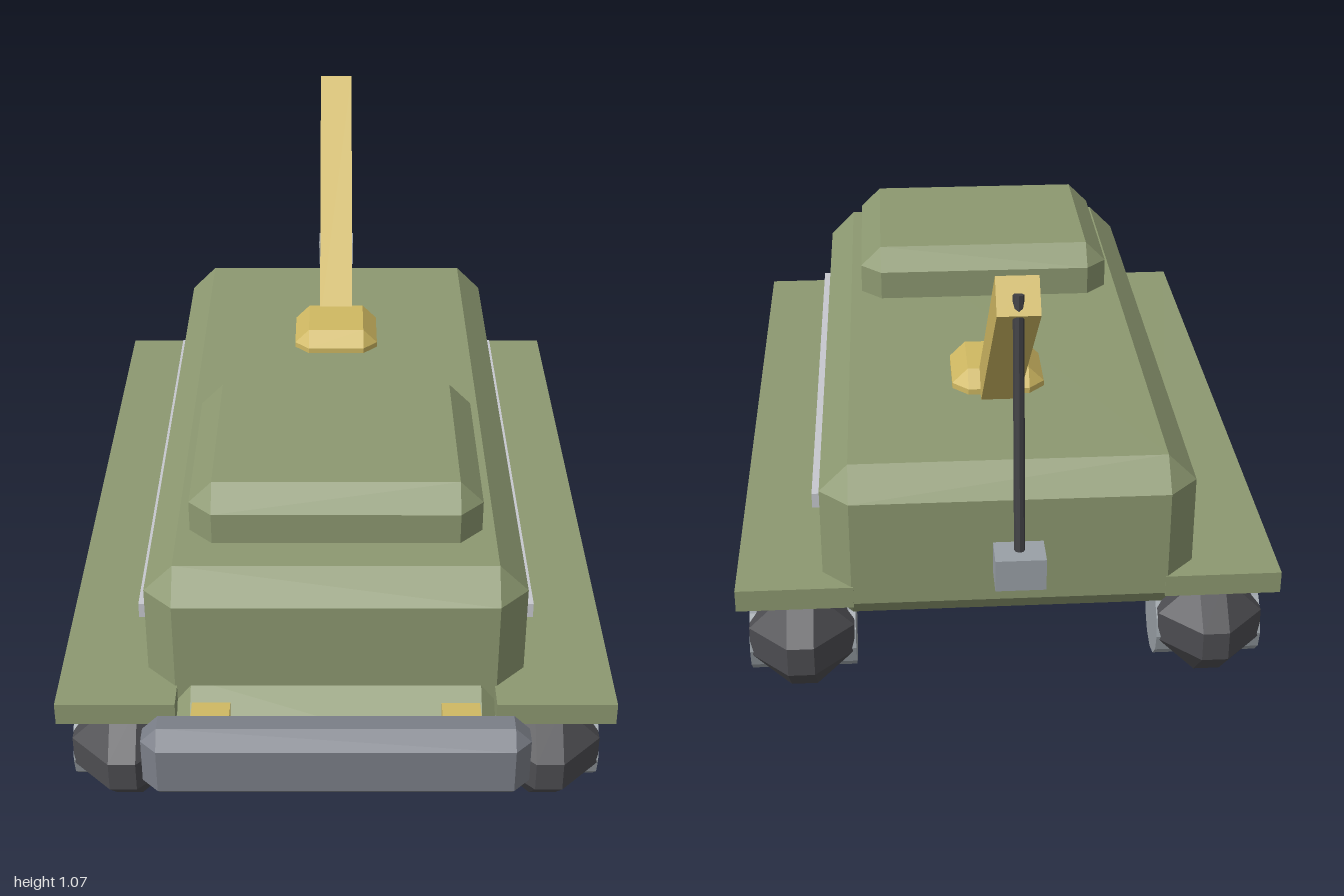
import * as THREE from 'three';
import { ConvexGeometry } from 'three/addons/geometries/ConvexGeometry.js';

const paint = (name, color) => {
  const m = new THREE.MeshStandardMaterial({ color });
  m.name = name;
  return m;
};

// Box with a single flat bevel of size c on every edge
function bevelBox(w, h, d, c) {
  const pts = [];
  for (const sx of [-1, 1]) for (const sy of [-1, 1]) for (const sz of [-1, 1]) {
    for (let flush = 0; flush < 3; flush++) {
      const inset = [0, 1, 2].map((i) => (i === flush ? 0 : c));
      pts.push(new THREE.Vector3(
        sx * (w / 2 - inset[0]), sy * (h / 2 - inset[1]), sz * (d / 2 - inset[2])));
    }
  }
  return new ConvexGeometry(pts);
}

// Cylinder with faceted sides
function facetedCylinder(radius, length, sides) {
  const g = new THREE.CylinderGeometry(radius, radius, length, sides).toNonIndexed();
  g.computeVertexNormals();
  return g;
}

export function createModel() {
  const model = new THREE.Group();
  model.name = 'trackedRecoveryVehicle';

  const olive = paint('olive', 0x8c9870);
  const ochre = paint('ochre', 0xcfb862);
  const trackGrey = paint('trackGrey', 0x4c4c50);
  const wheelGrey = paint('wheelGrey', 0x99a0a6);
  const bladeGrey = paint('bladeGrey', 0x7a7e87);
  const railGrey = paint('railGrey', 0xc6c8ce);
  const cableGrey = paint('cableGrey', 0x404044);

  const add = (name, geometry, material, x, y, z) => {
    const mesh = new THREE.Mesh(geometry, material);
    mesh.name = name;
    mesh.position.set(x, y, z);
    model.add(mesh);
    return mesh;
  };

  // Place a part with its length along y so that it runs between two points
  const span = (mesh, from, to) => {
    mesh.position.copy(from).add(to).multiplyScalar(0.5);
    mesh.quaternion.setFromUnitVectors(
      new THREE.Vector3(0, 1, 0), to.clone().sub(from).normalize());
  };

  // Hull, cabin and sloping nose plate
  add('hull', bevelBox(0.8, 0.368, 1.565, 0.062), olive, 0, 0.394, 0.047);
  add('cabin', bevelBox(0.622, 0.24, 0.52, 0.05), olive, 0, 0.578, 0.425);
  add('nosePlate', bevelBox(0.67, 0.1, 0.24, 0.03), olive, 0, 0.23, 0.86).rotation.x = 0.65;

  // Dozer blade
  add('blade', bevelBox(0.8, 0.17, 0.108, 0.034), bladeGrey, 0, 0.23, 0.946);

  // Running gear, fenders, rails and blade arms on both sides
  const track = bevelBox(0.23, 0.24, 1.635, 0.086);
  const wheel = facetedCylinder(0.084, 0.234, 12).rotateZ(Math.PI / 2);
  for (const s of [1, -1]) {
    const side = s > 0 ? 'left' : 'right';
    add(side + 'Fender', new THREE.BoxGeometry(0.25, 0.05, 1.63), olive, s * 0.459, 0.29, 0.077);
    add(side + 'Track', track, trackGrey, s * 0.453, 0.125, 0.082);
    for (let i = 0; i < 6; i++) {
      add(side + 'Wheel' + (i + 1), wheel, wheelGrey, s * 0.452, 0.1, 0.733 - i * 0.261);
    }
    add(side + 'Rail', new THREE.BoxGeometry(0.045, 0.035, 1.22), railGrey, s * 0.401, 0.407, 0.08);
    add(side + 'BladeArm', new THREE.BoxGeometry(0.08, 0.06, 0.055), ochre, s * 0.26, 0.275, 0.9);
  }

  // Crane: base, boom, cable and hook block
  add('craneBase', bevelBox(0.208, 0.12, 0.21, 0.035), ochre, 0, 0.566, -0.27);
  span(add('craneBoom', new THREE.BoxGeometry(0.084, 0.73, 0.08), ochre, 0, 0, 0),
    new THREE.Vector3(0, 0.566, -0.326), new THREE.Vector3(0, 1.045, -0.877));
  span(add('cable', facetedCylinder(0.011, 0.52, 8), cableGrey, 0, 0, 0),
    new THREE.Vector3(0, 1.05, -0.882), new THREE.Vector3(0, 0.535, -0.96));
  add('hookBlock', new THREE.BoxGeometry(0.1, 0.068, 0.07), wheelGrey, 0, 0.505, -0.965);

  return model;
}
